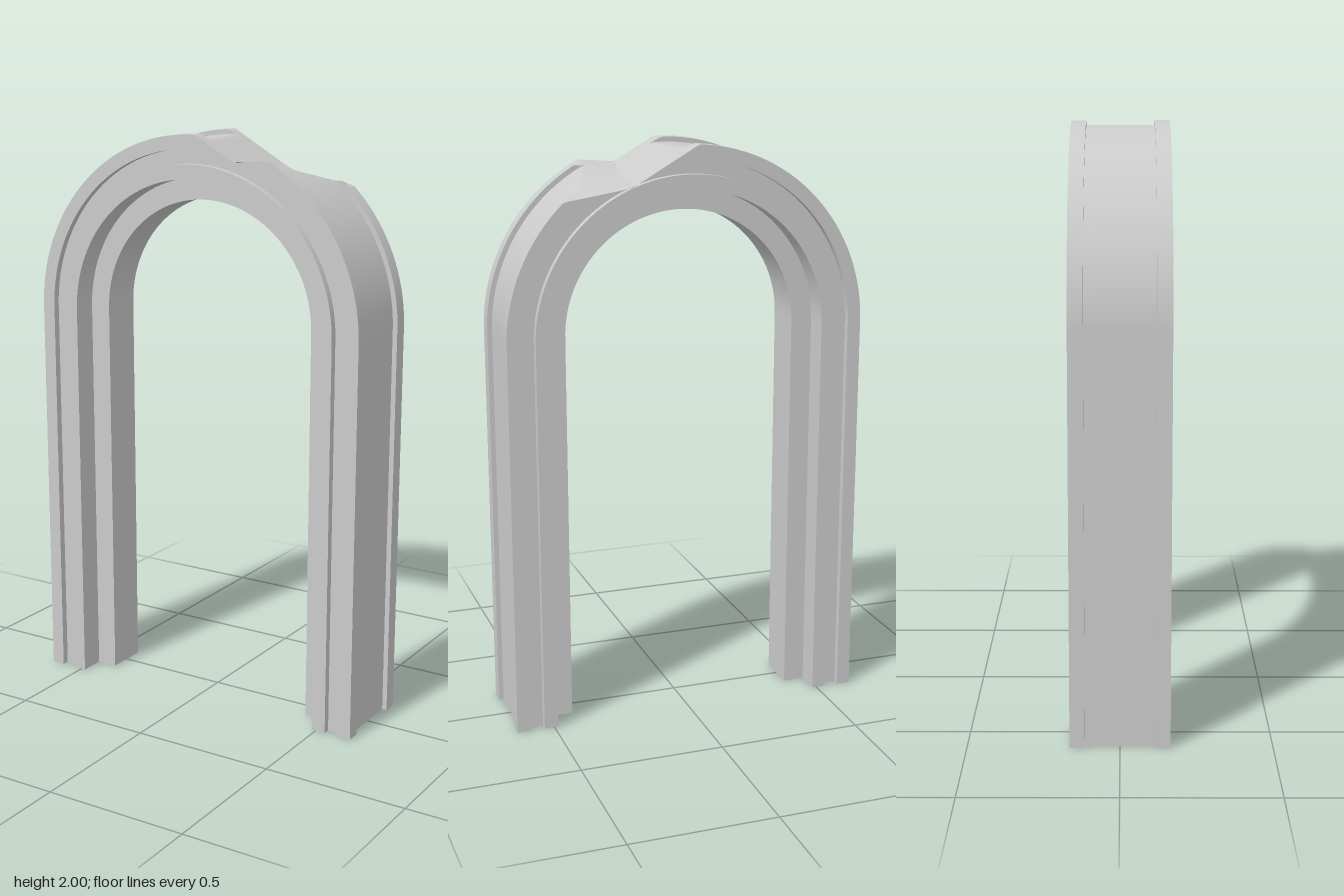
import * as THREE from 'three';
import { toCreasedNormals } from 'three/addons/utils/BufferGeometryUtils.js';

const SPRING = 1.37; // height where the legs turn into the half circle
const ARC_STEPS = 120;

// Front half of the moulding: [radius, z], from the inner reveal to the outer channel
const HALF = [
  [0.41, 0.075], [0.485, 0.075], [0.485, 0.165], [0.535, 0.165], [0.535, 0.14],
  [0.585, 0.14], [0.585, 0.165], [0.632, 0.165], [0.632, 0.115], [0.615, 0.115],
];

function mouldingProfile() {
  const channel = [0.07, 0.025, -0.025, -0.07].map((z) => [0.615, z]);
  const back = HALF.map(([r, z]) => [r, -z]).reverse();
  return [...HALF, ...channel, ...back, HALF[0]];
}

// Height of the broken surface at the crown; its low point leans to the back
const BREAK_FRONT = [[0.02, 2.0], [0.16, 1.92], [0.29, 1.93]];
const BREAK_BACK = [[-0.03, 2.0], [0.2, 1.868], [0.43, 1.832]];

function breakHeight(x, z) {
  const f = (z + 0.165) / 0.33;
  const p = BREAK_BACK.map((b, i) => b.map((v, k) => THREE.MathUtils.lerp(v, BREAK_FRONT[i][k], f)));
  for (let i = 0; i < 2; i++) {
    const [x0, y0] = p[i], [x1, y1] = p[i + 1];
    if (x >= x0 && x <= x1) return y0 + ((x - x0) / (x1 - x0)) * (y1 - y0);
  }
  return Infinity;
}

function archGeometry() {
  const profile = mouldingProfile();

  // Stations along the arch: left foot, half circle, right foot
  const stations = [{ angle: Math.PI, foot: true }];
  for (let i = 0; i <= ARC_STEPS; i++) {
    stations.push({ angle: Math.PI * (1 - i / ARC_STEPS), foot: false });
  }
  stations.push({ angle: 0, foot: true });

  const positions = [];
  for (const { angle, foot } of stations) {
    for (const [r, z] of profile) {
      const x = r * Math.cos(angle);
      const y = foot ? 0 : SPRING + r * Math.sin(angle);
      positions.push(x, Math.min(y, breakHeight(x, z)), z);
    }
  }

  const n = profile.length;
  const index = [];
  for (let i = 0; i < stations.length - 1; i++) {
    for (let j = 0; j < n - 1; j++) {
      const a = i * n + j, b = a + n;
      index.push(a, b, a + 1, b, b + 1, a + 1);
    }
  }

  const geometry = new THREE.BufferGeometry();
  geometry.setAttribute('position', new THREE.Float32BufferAttribute(positions, 3));
  geometry.setIndex(index);
  return toCreasedNormals(geometry, 0.4);
}

export function createModel() {
  const group = new THREE.Group();
  group.name = 'brokenArch';

  // Hollow moulded surround, open under the feet
  const material = new THREE.MeshStandardMaterial({ color: 0xcccccc, side: THREE.DoubleSide });
  const arch = new THREE.Mesh(archGeometry(), material);
  arch.name = 'archMoulding';
  group.add(arch);
  return group;
}
